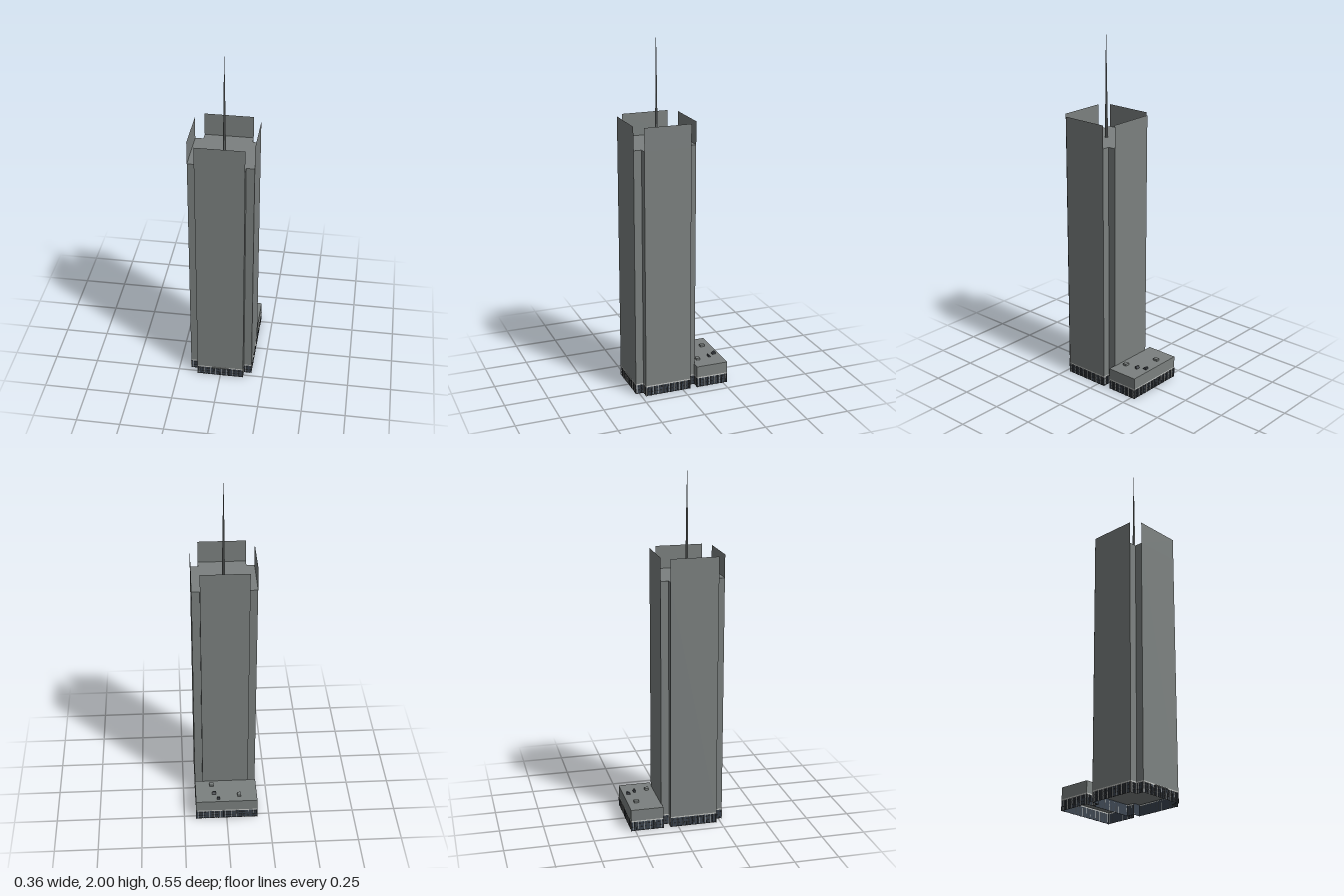
import * as THREE from 'three';

const mat = (name, color, side = THREE.FrontSide) => {
  const m = new THREE.MeshStandardMaterial({ color, side });
  m.name = name;
  return m;
};

export function createModel() {
  const facade = mat('facade grey', 0x7b807f);
  const sheet = mat('parapet grey', 0x7b807f, THREE.DoubleSide);
  const glass = mat('lobby glass', 0x39434f, THREE.DoubleSide);
  const frame = mat('dark frame', 0x3a3d40);
  const light = mat('pale trim', 0xc4c6c3);
  const vent = mat('vent dark', 0x42464c);

  const root = new THREE.Group();
  root.name = 'skyscraper';

  const add = (parent, name, geo, material, x = 0, y = 0, z = 0) => {
    const m = new THREE.Mesh(geo, material);
    m.name = name;
    m.position.set(x, y, z);
    parent.add(m);
    return m;
  };
  const box = (parent, name, w, h, d, material, x, y, z) =>
    add(parent, name, new THREE.BoxGeometry(w, h, d), material, x, y, z);

  const BASE = 0.062, ROOF = 1.43, TOP = 1.56, CZ = 0.09;
  const A = 0.18, B = 0.135;

  // Footprints as [x, z], running so that the outside is to the right of travel
  const towerPlan = [
    [-B, A], [B, A], [B, B], [A, B], [A, -B], [B, -B],
    [B, -A], [-B, -A], [-B, -B], [-A, -B], [-A, B], [-B, B],
  ].map(([x, z]) => [x, z + CZ]);
  const annexPlan = [[-A, -0.087], [A, -0.087], [A, -0.274], [-A, -0.274]];

  // Solid upper volume over a footprint
  const prism = (name, plan, y0, y1) => {
    const shape = new THREE.Shape(plan.map(([x, z]) => new THREE.Vector2(x, -z)));
    const geo = new THREE.ExtrudeGeometry(shape, { depth: y1 - y0, bevelEnabled: false });
    geo.rotateX(-Math.PI / 2);
    add(root, name, geo, facade, 0, y0, 0);
  };
  prism('towerShaft', towerPlan, BASE, ROOF);
  prism('annexBlock', annexPlan, BASE, 0.128);

  // Thin parapet screens standing above the roof on the four main faces
  for (let i = 0; i < 4; i++) {
    const turn = new THREE.Group();
    turn.name = 'parapet' + i;
    turn.position.z = CZ;
    turn.rotation.y = i * Math.PI / 2;
    add(turn, 'parapetScreen', new THREE.PlaneGeometry(2 * B, TOP - ROOF), sheet,
      0, (TOP + ROOF) / 2, A);
    root.add(turn);
  }

  // Glazed ground floor with mullions, rails and a pale band, edge by edge
  const lobby = (name, plan) => {
    const g = new THREE.Group();
    g.name = name;
    plan.forEach(([x0, z0], i) => {
      const [x1, z1] = plan[(i + 1) % plan.length];
      const len = Math.hypot(x1 - x0, z1 - z0);
      const wall = new THREE.Group();
      wall.name = 'lobbyWall';
      wall.position.set((x0 + x1) / 2, 0, (z0 + z1) / 2);
      wall.rotation.y = -Math.atan2(z1 - z0, x1 - x0);
      add(wall, 'glazing', new THREE.PlaneGeometry(len, BASE), glass, 0, BASE / 2, -0.003);
      box(wall, 'topBand', len, 0.007, 0.003, light, 0, BASE - 0.0035, -0.0015);
      for (const y of [0.002, 0.022, 0.042]) {
        box(wall, 'rail', len, 0.003, 0.002, frame, 0, y, -0.0018);
      }
      const n = Math.max(2, Math.round(len / 0.011));
      for (let k = 0; k <= n; k++) {
        const pale = k % 3 === 1;
        box(wall, pale ? 'paleMullion' : 'mullion', pale ? 0.0025 : 0.0035, BASE - 0.007, 0.003,
          pale ? light : frame, -len / 2 + (len * k) / n, (BASE - 0.007) / 2, -0.0015);
      }
      g.add(wall);
    });
    root.add(g);
  };
  lobby('towerLobby', towerPlan);
  lobby('annexLobby', annexPlan);

  // Entrance canopy
  box(root, 'entranceCanopy', 0.096, 0.005, 0.005, facade, 0, 0.056, 0.2725);

  // Tapered, stepped spire
  [[0.0085, 0.0065, ROOF, 1.62], [0.0055, 0.0045, 1.62, 1.8], [0.0035, 0.0012, 1.8, 2.0]]
    .forEach(([r0, r1, y0, y1]) => {
      const geo = new THREE.CylinderGeometry(r1, r0, y1 - y0, 8);
      add(root, 'spireSection', geo.toNonIndexed(), facade, 0, (y0 + y1) / 2, CZ)
        .geometry.computeVertexNormals();
    });

  // Annex roof boxes
  box(root, 'roofUnit', 0.021, 0.012, 0.028, facade, -0.075, 0.134, -0.222);
  box(root, 'roofUnit', 0.025, 0.012, 0.023, facade, 0.084, 0.134, -0.128);

  // Sloped roof vents
  const hood = (x, z, w, d, flip) => {
    const s = new THREE.Shape([
      new THREE.Vector2(-d / 2, 0), new THREE.Vector2(d / 2, 0),
      new THREE.Vector2(d / 2, 0.004), new THREE.Vector2(0, 0.014),
      new THREE.Vector2(-d / 2, 0.014),
    ]);
    const geo = new THREE.ExtrudeGeometry(s, { depth: w, bevelEnabled: false });
    geo.translate(0, 0, -w / 2);
    add(root, 'roofVent', geo, vent, x, 0.128, z).rotation.y = flip * Math.PI / 2;
  };
  hood(0.047, -0.244, 0.018, 0.02, -1);
  hood(0.072, -0.204, 0.023, 0.013, 1);

  return root;
}
